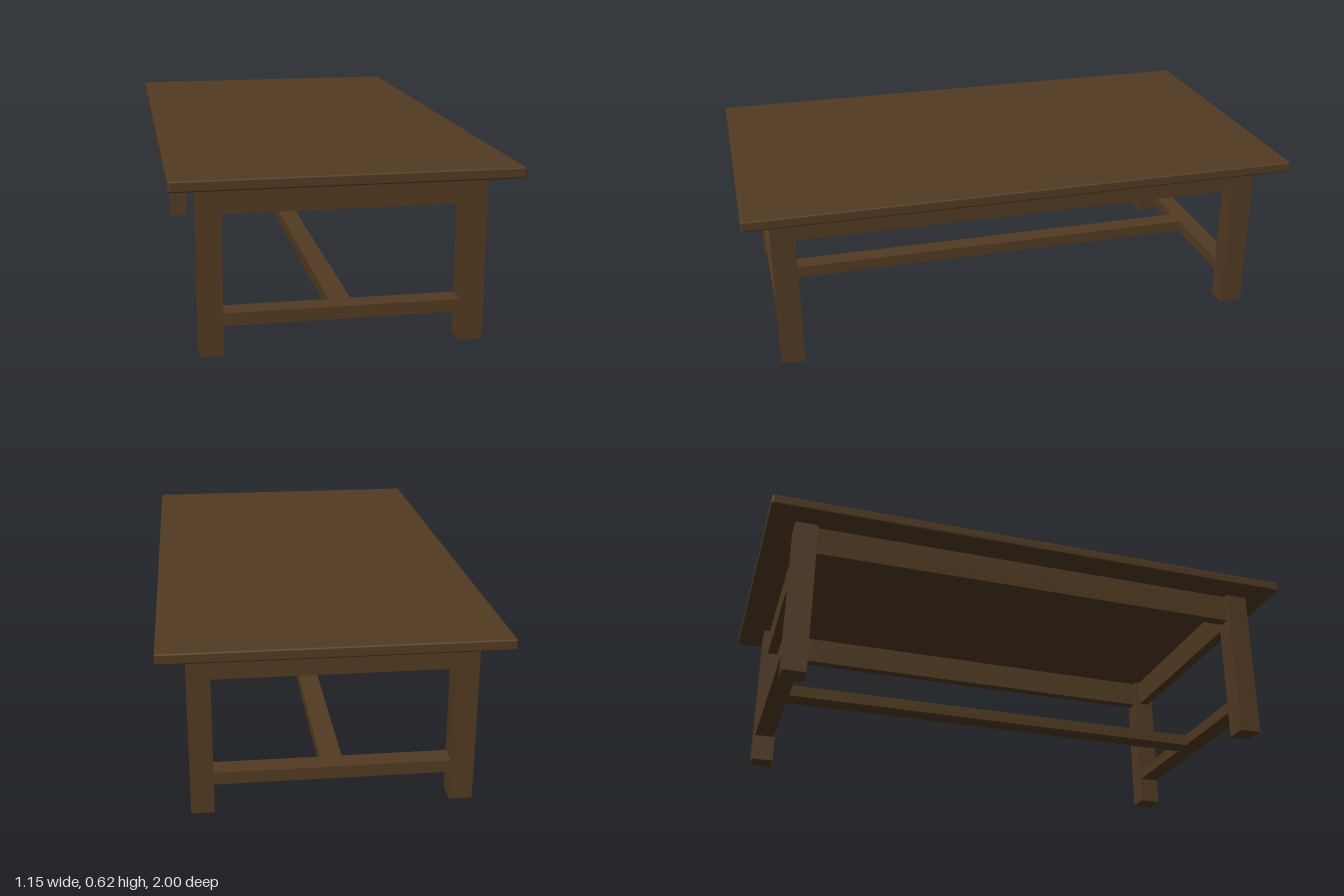
import * as THREE from 'three';
import { RoundedBoxGeometry } from 'three/addons/geometries/RoundedBoxGeometry.js';

export function createModel() {
  const table = new THREE.Group();
  table.name = 'diningTable';
  const wood = new THREE.MeshStandardMaterial({ color: 0x523b22 });
  wood.name = 'darkWood';

  const add = (name, geometry, x, y, z) => {
    const mesh = new THREE.Mesh(geometry, wood);
    mesh.name = name;
    mesh.position.set(x, y, z);
    table.add(mesh);
  };
  const box = (name, w, h, d, x, y, z) => add(name, new THREE.BoxGeometry(w, h, d), x, y, z);

  const legX = 0.441, legZ = 0.863, legW = 0.079, legD = 0.083, legH = 0.584;
  const spanX = 2 * legX - legW, spanZ = 2 * legZ - legD;
  const apronH = 0.107, apronT = 0.04, apronY = legH - apronH / 2;
  const railH = 0.044, railW = 0.075, railY = 0.125;

  // Top with softly eased edges
  add('tableTop', new RoundedBoxGeometry(1.146, 0.037, 2, 2, 0.006), 0, 0.6015, 0);

  // Legs
  for (const sx of [-1, 1])
    for (const sz of [-1, 1])
      box(`${sz > 0 ? 'front' : 'back'}${sx > 0 ? 'Left' : 'Right'}Leg`,
        legW, legH, legD, sx * legX, legH / 2, sz * legZ);

  // Aprons under the top, and a low rail at each end
  for (const s of [-1, 1]) {
    const end = s > 0 ? 'front' : 'back';
    box(s > 0 ? 'leftApron' : 'rightApron', apronT, apronH, spanZ, s * legX, apronY, 0);
    box(`${end}Apron`, spanX, apronH, apronT, 0, apronY, s * legZ);
    box(`${end}Stretcher`, spanX, railH, railW, 0, railY, s * legZ);
  }

  // Long rail joining the two end rails
  box('centreStretcher', railW, railH, 2 * legZ - railW, 0, railY, 0);

  return table;
}
